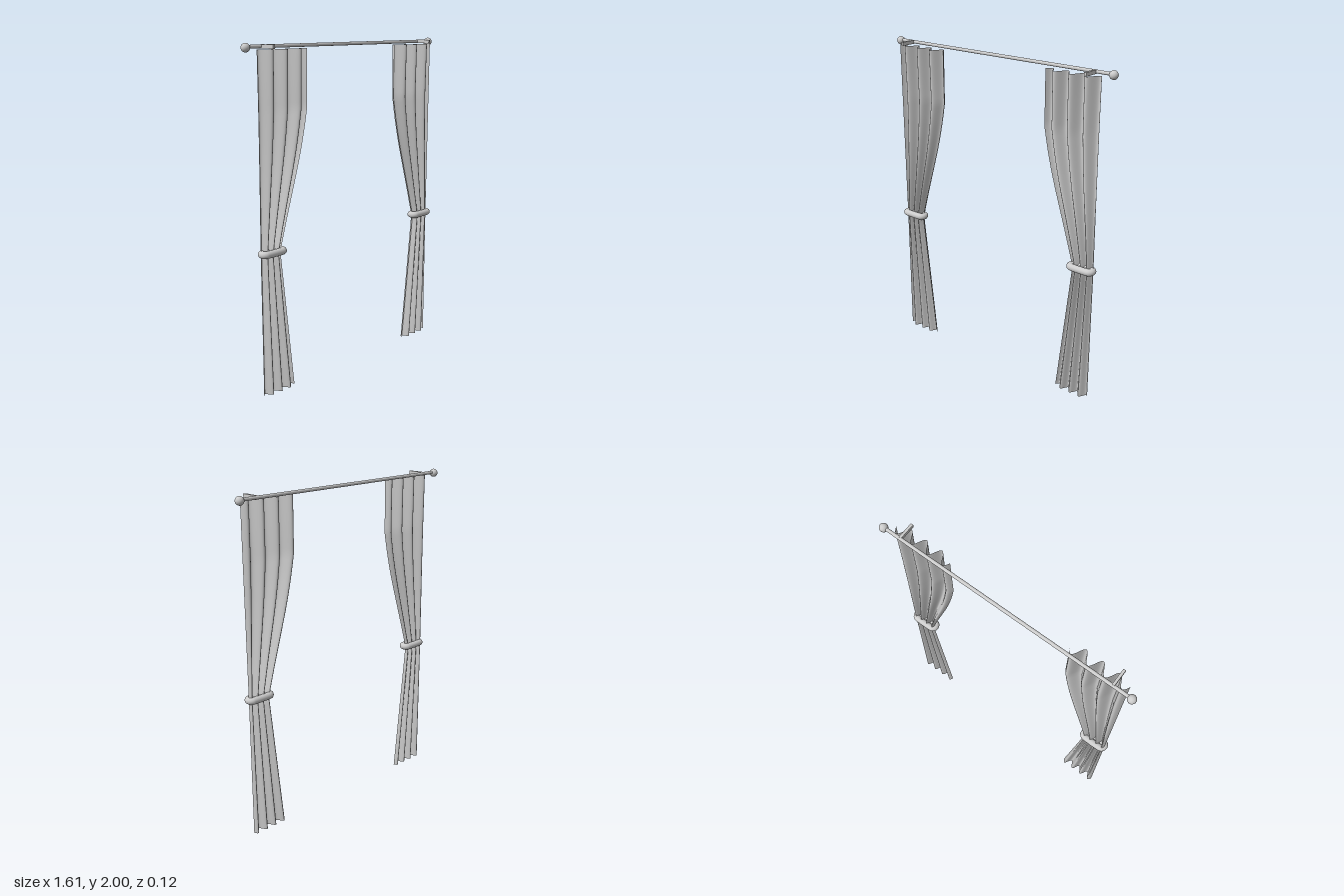
import * as THREE from 'three';

const grey = new THREE.MeshStandardMaterial({ color: 0xcccccc, side: THREE.DoubleSide });
grey.name = 'light grey';

const OUTER = 0.74, TOP = 1.965, TIE_Y = 0.846, ROD_Y = 1.98, ROD_Z = -0.038;

// Inner edge of the right-hand drape as [height, x], from floor to rod
const EDGE = [[0, 0.505], [0.82, 0.597], [0.87, 0.59], [1.0, 0.552], [1.1, 0.521], [1.2, 0.49],
  [1.3, 0.459], [1.4, 0.431], [1.5, 0.407], [1.58, 0.391], [1.64, 0.38], [TOP, 0.38]];
// Fold depth and middle as [height, value]
const DEPTH = [[0, 0.021], [TIE_Y, 0.018], [TOP, 0.033]];
const MIDDLE = [[0, 0.001], [TIE_Y, 0.003], [TOP, 0.012]];

function lookup(table, y) {
  let i = 1;
  while (i < table.length - 1 && table[i][0] < y) i++;
  const [a, b] = [table[i - 1], table[i]];
  return THREE.MathUtils.mapLinear(y, a[0], b[0], a[1], b[1]);
}

// Pleated sheet gathered towards its outer edge
function drapeGeometry(side) {
  const geo = new THREE.PlaneGeometry(1, TOP, 112, 60);
  const p = geo.attributes.position;
  for (let i = 0; i < p.count; i++) {
    const s = p.getX(i) + 0.5;
    const t = side > 0 ? 1 - s : s; // 0 at the outer edge, 1 at the inner edge
    const y = p.getY(i) + TOP / 2;
    const x = THREE.MathUtils.lerp(OUTER, lookup(EDGE, y), t);
    const z = lookup(MIDDLE, y) - lookup(DEPTH, y) * Math.sin(7 * Math.PI * t);
    p.setXYZ(i, side * x, y, z);
  }
  geo.computeVertexNormals();
  return geo;
}

// Padded band looped round the gathered drape
function tieGeometry() {
  const points = [];
  const r = 0.021, half = 0.053, n = 8;
  for (const end of [1, -1]) {
    for (let i = 0; i <= n; i++) {
      const a = -Math.PI / 2 + Math.PI * i / n;
      points.push(new THREE.Vector3(end * (half + r * Math.cos(a)), 0, end * r * Math.sin(a)));
    }
  }
  return new THREE.TubeGeometry(new THREE.CatmullRomCurve3(points, true), 96, 0.021, 16, true);
}

export function createModel() {
  const model = new THREE.Group();
  model.name = 'curtains';
  const add = (name, geometry, x, y, z) => {
    const mesh = new THREE.Mesh(geometry, grey);
    mesh.name = name;
    mesh.position.set(x, y, z);
    model.add(mesh);
  };

  // Rod across the top
  add('rod', new THREE.CylinderGeometry(0.01, 0.01, 1.56, 24).rotateZ(Math.PI / 2), 0, ROD_Y, ROD_Z);

  // Matching parts on each side
  for (const side of [1, -1]) {
    const label = side > 0 ? 'left' : 'right';
    add(label + 'Finial', new THREE.SphereGeometry(0.025, 32, 20), side * 0.782, ROD_Y - 0.004, ROD_Z);
    add(label + 'Bracket', new THREE.BoxGeometry(0.015, 0.022, 0.1), side * 0.67, ROD_Y, 0.012);
    add(label + 'Drape', drapeGeometry(side), 0, 0, 0);
    add(label + 'Tieback', tieGeometry(), side * 0.662, TIE_Y, 0.006);
  }
  return model;
}
